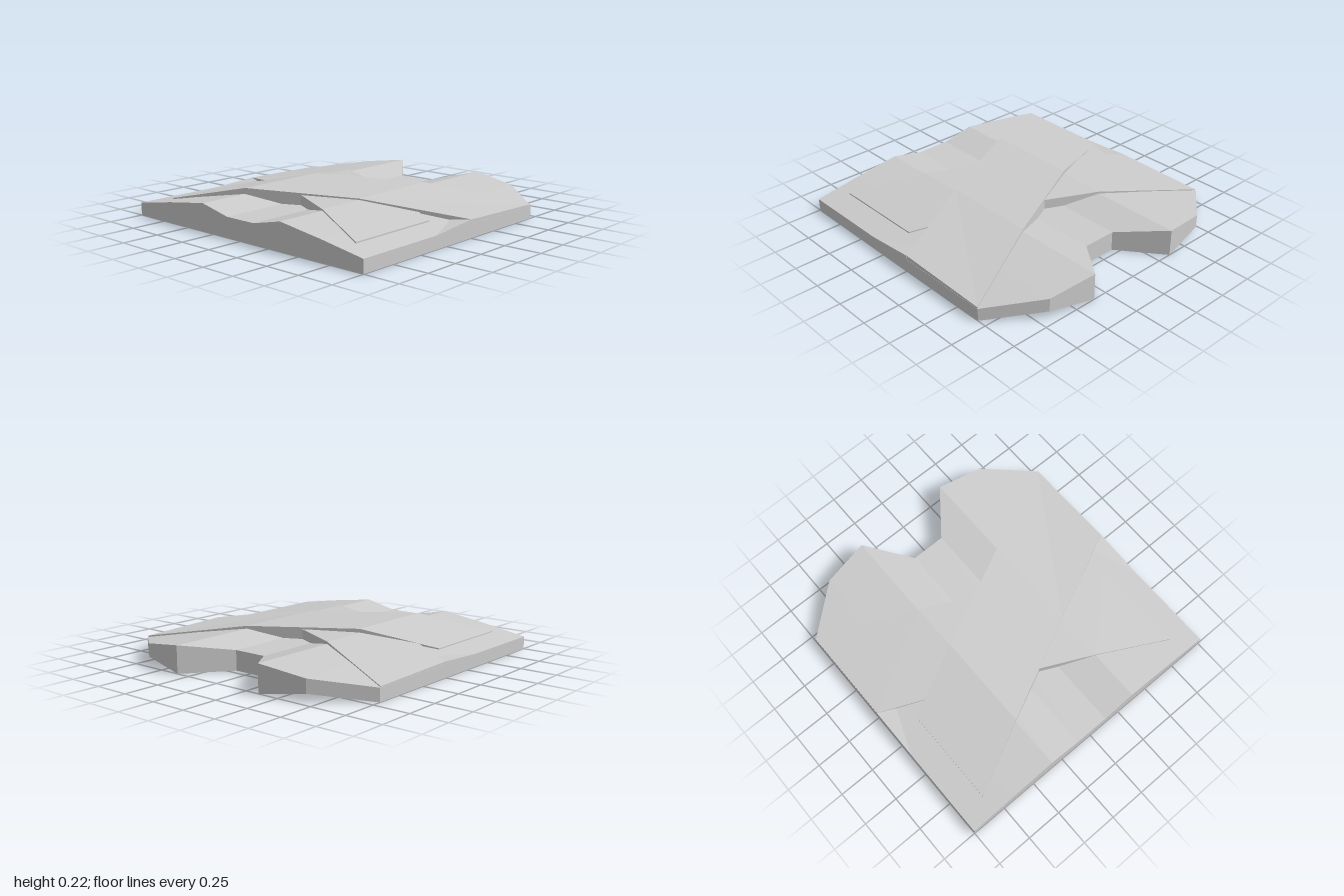
import * as THREE from 'three';
import { ConvexGeometry } from 'three/addons/geometries/ConvexGeometry.js';

const material = new THREE.MeshStandardMaterial({ color: 0xcccccc, flatShading: true });

// Closed solid through rings of [x, y, z] points, ordered by rising x.
// Each ring runs bottom back, bottom front, top front, top back.
function loft(rings) {
  const n = rings[0].length;
  const last = (rings.length - 1) * n;
  const index = [];
  for (let i = 0; i < rings.length - 1; i++) {
    for (let j = 0; j < n; j++) {
      const k = (j + 1) % n;
      const a = i * n + j, b = i * n + k, c = b + n, d = a + n;
      index.push(a, d, c, a, c, b);
    }
  }
  for (let j = 1; j < n - 1; j++) {
    index.push(0, j, j + 1, last, last + j + 1, last + j);
  }
  const geometry = new THREE.BufferGeometry();
  geometry.setAttribute('position', new THREE.Float32BufferAttribute(rings.flat(2), 3));
  geometry.setIndex(index);
  const flat = geometry.toNonIndexed();
  flat.computeVertexNormals();
  return flat;
}

// Crossing strap with sloping parallel edges; stations are [x, front top, back top]
function strap(slope, stations) {
  return loft(stations.map(([x, front, back]) => {
    const zFront = 0.475 + slope * x;
    const zBack = -0.2 + slope * x;
    return [[x, 0.05, zBack], [x, 0.05, zFront], [x, front, zFront], [x, back, zBack]];
  }));
}

export function createModel() {
  const group = new THREE.Group();
  const add = (name, geometry) => {
    const mesh = new THREE.Mesh(geometry, material);
    mesh.name = name;
    group.add(mesh);
  };

  // Slab with two ridges, a central valley and a notched back: [x, top, back z, back bottom]
  const half = [
    [0.12, 0.135, -0.705, 0],
    [0.35, 0.185, -1, 0],
    [0.675, 0.14, -0.95, 0.05],
    [1, 0.087, -0.685, 0],
  ];
  const columns = [...half.map(([x, ...rest]) => [-x, ...rest]).reverse(), ...half];
  add('slab', loft(columns.map(([x, top, back, lift]) => [
    [x, lift, back], [x, 0, -0.685], [x, 0, 1], [x, top, 1], [x, top, back],
  ])));

  // Two straps laid in an X, bridging the valley
  add('upperStrap', strap(-0.482, [
    [-0.82, 0.124, 0.124], [-0.35, 0.225, 0.225], [0.35, 0.204, 0.204], [0.999, 0.119, 0.097],
  ]));
  add('lowerStrap', strap(0.479, [
    [-0.999, 0.106, 0.094], [-0.35, 0.2, 0.2], [0, 0.202, 0.202], [0.35, 0.195, 0.195], [0.83, 0.124, 0.124],
  ]));

  // Small ramps easing the straps into the side edges
  for (const [side, name, top] of [[1, 'leftEdgeRamp', 0.119], [-1, 'rightEdgeRamp', 0.106]]) {
    add(name, new ConvexGeometry([
      new THREE.Vector3(side, top, -0.005),
      new THREE.Vector3(side, 0.087, 0.35),
      new THREE.Vector3(side, 0.08, -0.005),
      new THREE.Vector3(side * 0.88, 0.108, 0.05),
    ]));
  }
  return group;
}
